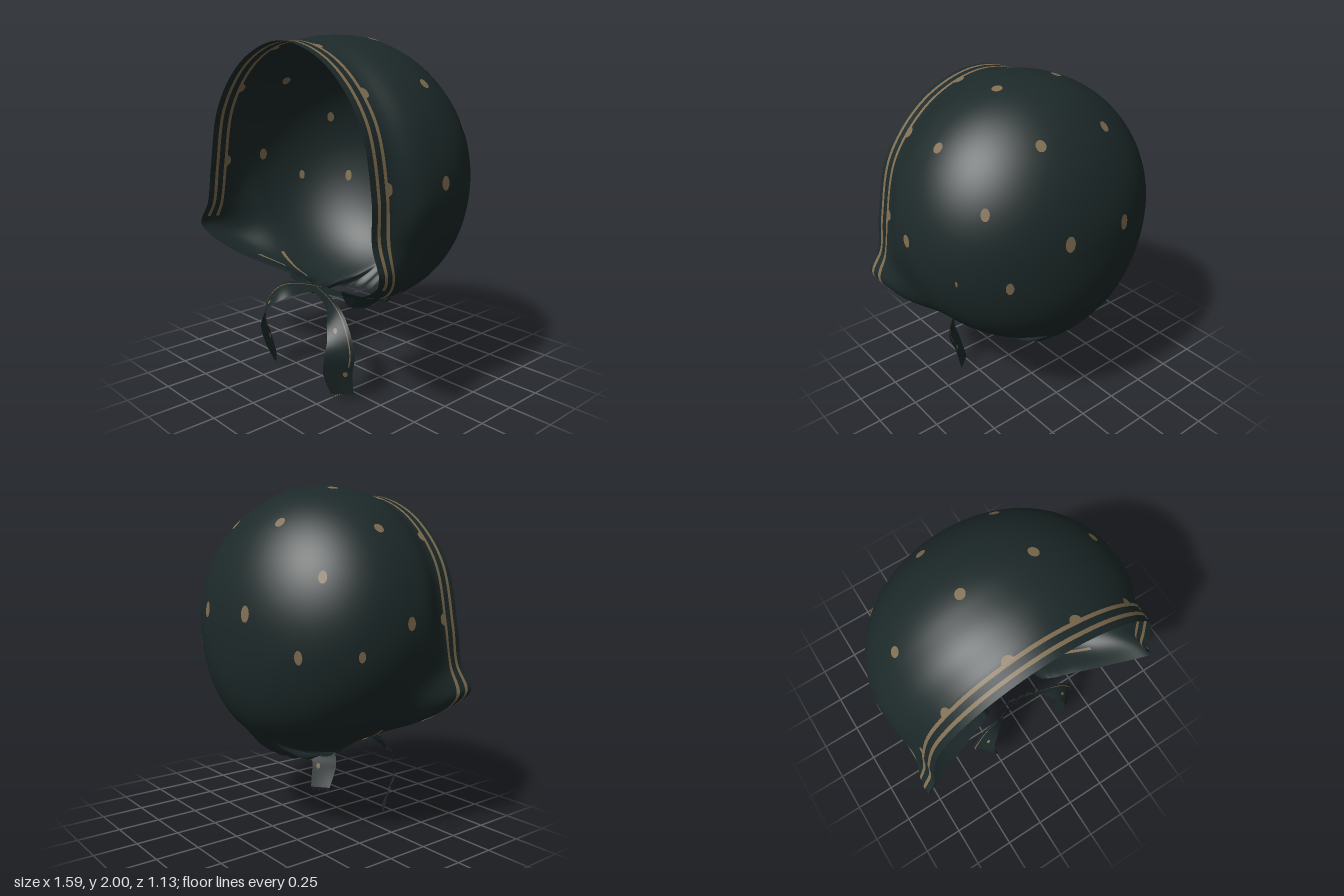
import * as THREE from 'three';

const V = (x, y, z) => new THREE.Vector3(x, y, z);
const BACK = -0.565;

const fabric = new THREE.MeshStandardMaterial({ color: 0x1d2929, side: THREE.DoubleSide });
fabric.name = 'darkFabric';
const trim = new THREE.MeshStandardMaterial({ color: 0x7f6d50, side: THREE.DoubleSide });
trim.name = 'tanPrint';

// Free edge of the cap, half way round: angle from the top in degrees, then x, y, z
const half = [
  [0, 0, 1.96, 0.526], [30, 0.355, 1.85, 0.526], [60, 0.61, 1.58, 0.526], [90, 0.705, 1.22, 0.53],
  [108, 0.728, 1.0, 0.547], [121, 0.79, 0.85, 0.56], [134, 0.6, 0.705, 0.46], [146, 0.375, 0.635, 0.36],
  [155, 0.22, 0.59, 0.29], [161, 0.2, 0.465, 0.19], [167, 0.22, 0.445, 0], [172, 0.17, 0.44, -0.15],
  [180, 0, 0.44, -0.2],
];
const keys = [...half.slice(1).reverse().map(([a, x, y, z]) => [-a, -x, y, z]), ...half];
const edgeCurve = new THREE.CatmullRomCurve3(keys.map(([, x, y, z]) => V(x, y, z)));
const angleCurve = new THREE.CatmullRomCurve3(keys.map(([a]) => V(a, 0, 0)));
const bell = (x, mid, w) => Math.exp(-(((x - mid) / w) ** 2));

// Rounded cap body, fuller at the cheeks, before the edge is pulled into shape
function body(deg, z) {
  const phi = THREE.MathUtils.degToRad(deg);
  const d = Math.min(1, Math.max(0, (0.1 - z) / (0.1 - BACK)));
  const k = p => Math.pow(Math.max(0, 1 - Math.pow(d, p)), 1 / p);
  const c = Math.cos(phi);
  const cheek = 1 + 0.075 * bell(Math.abs(deg), 130, 15) * bell(z, 0.33, 0.17);
  return V(0.78 * k(2.1) * Math.sin(phi) * cheek, 1.22 + (c > 0 ? 0.78 * k(2) : 0.77 * k(2.55)) * c * cheek, z);
}

// Cap surface: u runs round the edge, v from the back (0) to the edge (1)
function cap(u, v) {
  const e = edgeCurve.getPoint(u);
  const deg = angleCurve.getPoint(u).x;
  const a = Math.abs(deg);
  const z = BACK + (e.z - BACK) * (1 - Math.cos(v * Math.PI / 2));
  // flat hem band over the top and sides, then a blend into the body
  const hem = 0.1 * (1 - THREE.MathUtils.smoothstep(a, 90, 118));
  const reach = 0.14 + 0.08 * bell(a, 121, 13);
  const fall = bell(Math.max(0, e.z - z - hem), 0, reach);
  const p = body(deg, z).addScaledVector(e.clone().sub(body(deg, e.z)), fall);
  // gathers round the neck
  const gather = THREE.MathUtils.smoothstep(a, 148, 160);
  p.y += 0.007 * gather * fall * Math.cos(THREE.MathUtils.degToRad(deg) * 96);
  return p;
}

function capNormal(u, v) {
  const s = 0.002;
  const du = cap(Math.min(1, u + s), v).sub(cap(Math.max(0, u - s), v));
  const dv = cap(u, Math.min(1, v + s)).sub(cap(u, Math.max(0.001, v - s)));
  return dv.cross(du).normalize();
}
const capOffset = (u, v, h) => cap(u, v).addScaledVector(capNormal(u, v), h);

// Geometry from a grid of points given by fn(i, j) with i, j in 0..1
function grid(nu, nv, fn) {
  const pos = [], idx = [];
  for (let i = 0; i <= nu; i++) for (let j = 0; j <= nv; j++) pos.push(...fn(i / nu, j / nv).toArray());
  for (let i = 0; i < nu; i++) for (let j = 0; j < nv; j++) {
    const a = i * (nv + 1) + j, b = a + nv + 1;
    idx.push(a, a + 1, b, b, a + 1, b + 1);
  }
  const g = new THREE.BufferGeometry();
  g.setAttribute('position', new THREE.Float32BufferAttribute(pos, 3));
  g.setIndex(idx);
  g.computeVertexNormals();
  return g;
}

function add(parent, name, geometry, material) {
  const m = new THREE.Mesh(geometry, material);
  m.name = name;
  parent.add(m);
  return m;
}

// Printed stripe on the cap from u0 to u1; z(edgeZ) gives its front line
function stripe(parent, u0, u1, z, h) {
  add(parent, 'stripe', grid(Math.ceil((u1 - u0) * 240) + 4, 2, (i, j) => {
    const u = u0 + (u1 - u0) * i;
    const ez = edgeCurve.getPoint(u).z;
    const zz = z(ez) - 0.021 * (1 - j);
    return capOffset(u, Math.acos((ez - zz) / (ez - BACK)) * 2 / Math.PI, h);
  }), trim);
}

// Tie ribbon rows: centre x, y, z, then half-width vector x, y, z
const tieRows = [
  [-0.24, 0.585, 0.29, 0, 0.015, 0], [0, 0.565, 0.3, 0, 0.025, 0], [0.16, 0.527, 0.335, 0.015, 0.04, 0],
  [0.265, 0.462, 0.375, 0.035, 0.035, -0.03], [0.33, 0.37, 0.402, 0.05, 0.015, -0.045],
  [0.343, 0.28, 0.412, 0.058, 0, -0.06], [0.315, 0.17, 0.4, 0.055, 0, -0.06],
  [0.3, 0.027, 0.355, 0.05, 0, -0.042],
];

function tie(side) {
  const g = new THREE.Group();
  g.name = side > 0 ? 'leftTie' : 'rightTie';
  const lift = side > 0 ? 0 : 0.03, forward = side > 0 ? 0 : 0.012;
  const path = new THREE.CatmullRomCurve3(tieRows.map(([x, y, z], i) =>
    V(side * x, y + lift * i / 7, z + forward)));
  const width = new THREE.CatmullRomCurve3(tieRows.map(r => V(side * r[3], r[4], r[5])));
  const at = (t, w, h = 0) => {
    const wv = width.getPoint(t);
    const n = path.getTangent(t).cross(wv).normalize();
    return path.getPoint(t).addScaledVector(wv, w).addScaledVector(n, h);
  };
  add(g, 'tieRibbon', grid(60, 4, (i, j) => at(i, j * 2 - 1)), fabric);
  for (const h of [0.003, -0.003]) {
    add(g, 'tieStripe', grid(50, 1, (i, j) => at(0.1 + i * 0.7, 0.64 + j * 0.09, h)), trim);
    for (const [t, w] of [[0.5, -0.2], [0.86, 0.5]]) {
      add(g, 'tieDot', grid(12, 1, (i, j) => {
        const a = i * Math.PI * 2;
        return at(t + 0.02 * j * Math.cos(a), w + 0.17 * j * Math.sin(a), h);
      }), trim);
    }
  }
  // frayed end threads
  for (let k = 0; k < 10; k++) {
    const w = -0.95 + k * 0.2;
    add(g, 'fringeThread', grid(1, 1, (i, j) => {
      const p = at(1, w + j * 0.07);
      p.y -= i * (k % 2 ? 0.027 : 0.021);
      return p;
    }), fabric);
  }
  return g;
}

export function createModel() {
  const model = new THREE.Group();
  model.name = 'bonnet';

  const shell = add(model, 'capShell', grid(240, 64, (u, v) => cap(u, v)), fabric);

  // Two printed stripes along the front edge, shorter on the inner face
  const stripes = new THREE.Group();
  stripes.name = 'rimStripes';
  model.add(stripes);
  for (const [inset, outer] of [[0.035, 5.4], [0.092, 6]]) {
    for (const [n, h] of [[outer, 0.004], [4.6, -0.004]]) {
      stripe(stripes, 0.5 - n / 24, 0.5 + n / 24, ez => ez - inset, h);
    }
  }
  // Short ends of the print gathered in towards the neck
  for (const s of [1, -1]) {
    const ends = (a, b) => [0.5 + s * a / 24, 0.5 + s * b / 24].sort((p, q) => p - q);
    for (const h of [0.004, -0.004]) stripe(stripes, ...ends(6.3, 8.2), () => 0.14, h);
    stripe(stripes, ...ends(6.2, 7.1), ez => ez - 0.14, -0.004);
  }

  // Dots: x, y, z, half width, half height, and whether on one side only
  const dots = [
    [0.2, 1.3, -0.53, 0.03, 0.045], [0.48, 1.1, -0.42, 0.022, 0.038], [0.57, 1.52, -0.33, 0.023, 0.034],
    [0.21, 1.79, -0.35, 0.028, 0.032], [0.77, 1.25, 0.08, 0.028, 0.037], [0.59, 1.74, 0.03, 0.028, 0.03],
    [0.2, 1.98, 0.04, 0.03, 0.028], [0.72, 1.1, -0.24, 0.007, 0.018, true], [-0.73, 1.1, -0.2, 0.019, 0.03, true],
  ];
  // Half dots sit behind the rear stripe
  const halfDots = [
    [0.18, 1.96, 0.416, 0.034, 0.034], [0.53, 1.72, 0.416, 0.034, 0.034], [0.7, 1.25, 0.416, 0.034, 0.034],
  ];
  const print = new THREE.Group();
  print.name = 'printedDots';
  model.add(print);
  const pos = shell.geometry.attributes.position;
  const p = V(0, 0, 0);

  function placeDots(list, geometry, up) {
    for (const [x, y, z, rx, ry, single] of list) {
      const target = V(x, y, z);
      let best = 0, bestD = Infinity;
      for (let i = 0; i < pos.count; i++) {
        const d = p.fromBufferAttribute(pos, i).distanceToSquared(target);
        if (d < bestD) { bestD = d; best = i; }
      }
      const u = Math.floor(best / 65) / 240, v = (best % 65) / 64;
      for (const uu of single ? [u] : [u, 1 - u]) for (const h of [0.004, -0.004]) {
        const m = add(print, 'dot', geometry, trim);
        m.up.copy(up);
        m.position.copy(capOffset(uu, v, h));
        m.lookAt(m.position.clone().add(capNormal(uu, v)));
        m.scale.set(rx, ry, 1);
      }
    }
  }
  placeDots(dots, new THREE.CircleGeometry(1, 18), V(0, 1, 0));
  placeDots(halfDots, new THREE.CircleGeometry(1, 12, 0, Math.PI), V(0, 0, -1));

  model.add(tie(1), tie(-1));
  return model;
}
